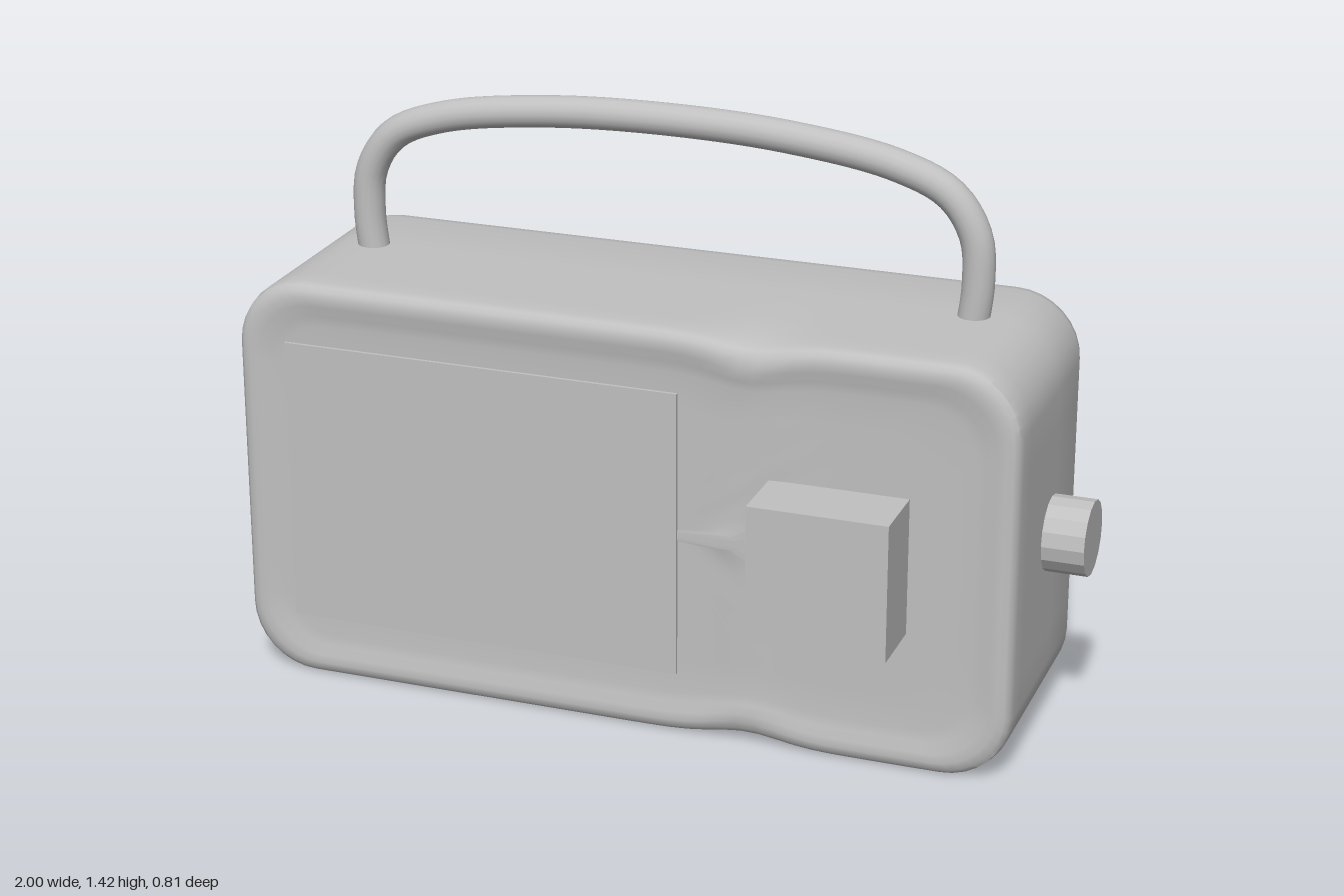
import * as THREE from 'three';
import { toCreasedNormals } from 'three/addons/utils/BufferGeometryUtils.js';

const CX = -0.05, CY = 0.5;      // centre of the case
const WAIST = 0.27;              // where the front outline pinches in
const bump = (x, c, w) => Math.exp(-(((x - c) / w) ** 2));

// Rounded-rectangle outline, counter-clockwise, with finely divided long sides
function outline(hw, hh, r) {
  const pts = [];
  const corners = [[1, 1], [-1, 1], [-1, -1], [1, -1]];
  corners.forEach(([sx, sy], i) => {
    const ox = sx * (hw - r), oy = sy * (hh - r);
    for (let k = 0; k <= 8; k++) {
      const a = (i + k / 8) * Math.PI / 2;
      pts.push([ox + r * Math.cos(a), oy + r * Math.sin(a)]);
    }
    // straight run to the next corner
    const [nx, ny] = corners[(i + 1) % 4];
    const a = (i + 1) * Math.PI / 2;
    const from = pts[pts.length - 1];
    const to = [nx * (hw - r) + r * Math.cos(a), ny * (hh - r) + r * Math.sin(a)];
    const n = i % 2 === 0 ? 36 : 8;
    for (let k = 1; k < n; k++) {
      pts.push([from[0] + (to[0] - from[0]) * k / n, from[1] + (to[1] - from[1]) * k / n]);
    }
  });
  return pts;
}

// Case lofted from back to front: [z, inset, pinch depth]
function caseGeometry() {
  const sections = [
    [-0.4, 0.17, 0], [-0.396, 0.11, 0], [-0.386, 0.06, 0], [-0.367, 0.03, 0],
    [-0.335, 0.01, 0], [-0.29, 0, 0], [-0.1, 0, 0], [0.08, 0, 0.004],
    [0.16, 0, 0.016], [0.215, 0, 0.035], [0.24, 0.004, 0.045], [0.25, 0.014, 0.05],
    [0.254, 0.03, 0.055], [0.252, 0.05, 0.06], [0.245, 0.075, 0.06], [0.242, 0.1, 0.055],
  ];
  const pos = [], index = [];
  let n = 0, rings = 0;
  const addRing = (pts, zAt) => {
    n = pts.length;
    pts.forEach(([x, y]) => pos.push(CX + x, CY + y, zAt(CX + x)));
    rings++;
  };
  let inner;
  sections.forEach(([z, inset, pinch]) => {
    const pts = outline(0.95 - inset, 0.5 - inset, 0.16 - inset * 0.35)
      .map(([x, y]) => [x, y * (1 - pinch * bump(CX + x, WAIST, 0.11))]);
    const ridge = z > 0.22 && inset > 0.04 ? 0.006 : 0;
    addRing(pts, x => z + ridge * bump(x, WAIST, 0.06));
    inner = pts;
  });
  // dished front panel with a faint upright ridge at the waist
  [0.8, 0.6, 0.4, 0.2, 0.05].forEach(s =>
    addRing(inner.map(([x, y]) => [x * (0.3 + 0.7 * s), y * s]),
      x => 0.242 + 0.006 * bump(x, WAIST, 0.06)));

  for (let j = 0; j < rings - 1; j++) {
    for (let i = 0; i < n; i++) {
      const a = j * n + i, b = j * n + (i + 1) % n, c = a + n, d = b + n;
      index.push(a, b, d, a, d, c);
    }
  }
  // close both ends
  const back = pos.length / 3;
  pos.push(CX, CY, -0.4, CX, CY, 0.242);
  const last = (rings - 1) * n;
  for (let i = 0; i < n; i++) {
    const k = (i + 1) % n;
    index.push(back, k, i, back + 1, last + i, last + k);
  }
  const g = new THREE.BufferGeometry();
  g.setAttribute('position', new THREE.Float32BufferAttribute(pos, 3));
  g.setIndex(index);
  return toCreasedNormals(g, 0.7);
}

export function createModel() {
  const group = new THREE.Group();
  const grey = new THREE.MeshStandardMaterial({ color: 0xc0c0c0 });
  grey.name = 'light grey';

  const add = (name, geometry, x = 0, y = 0, z = 0) => {
    const mesh = new THREE.Mesh(geometry, grey);
    mesh.name = name;
    mesh.position.set(x, y, z);
    group.add(mesh);
    return mesh;
  };

  add('case', caseGeometry());

  // Front panel details
  add('screen', new THREE.BoxGeometry(0.98, 0.7, 0.009), -0.39, 0.5, 0.2455);
  add('frontButton', new THREE.BoxGeometry(0.33, 0.33, 0.18), 0.485, 0.505, 0.315);

  // Side knob
  const knob = toCreasedNormals(new THREE.CylinderGeometry(0.09, 0.09, 0.14, 16), 0.1);
  knob.rotateZ(-Math.PI / 2);
  add('sideKnob', knob, 0.93, 0.5, -0.07);

  // Carrying handle, mirrored about the middle of the case
  const half = [[0.742, 0.96], [0.755, 1.08], [0.745, 1.19], [0.685, 1.28], [0.56, 1.335], [0.3, 1.375]];
  const path = [
    ...half.map(([x, y]) => [-x, y]), [0, 1.387], ...half.slice().reverse(),
  ].map(([x, y]) => new THREE.Vector3(CX + x, y, -0.085));
  add('handle', new THREE.TubeGeometry(new THREE.CatmullRomCurve3(path), 80, 0.038, 16));

  return group;
}
